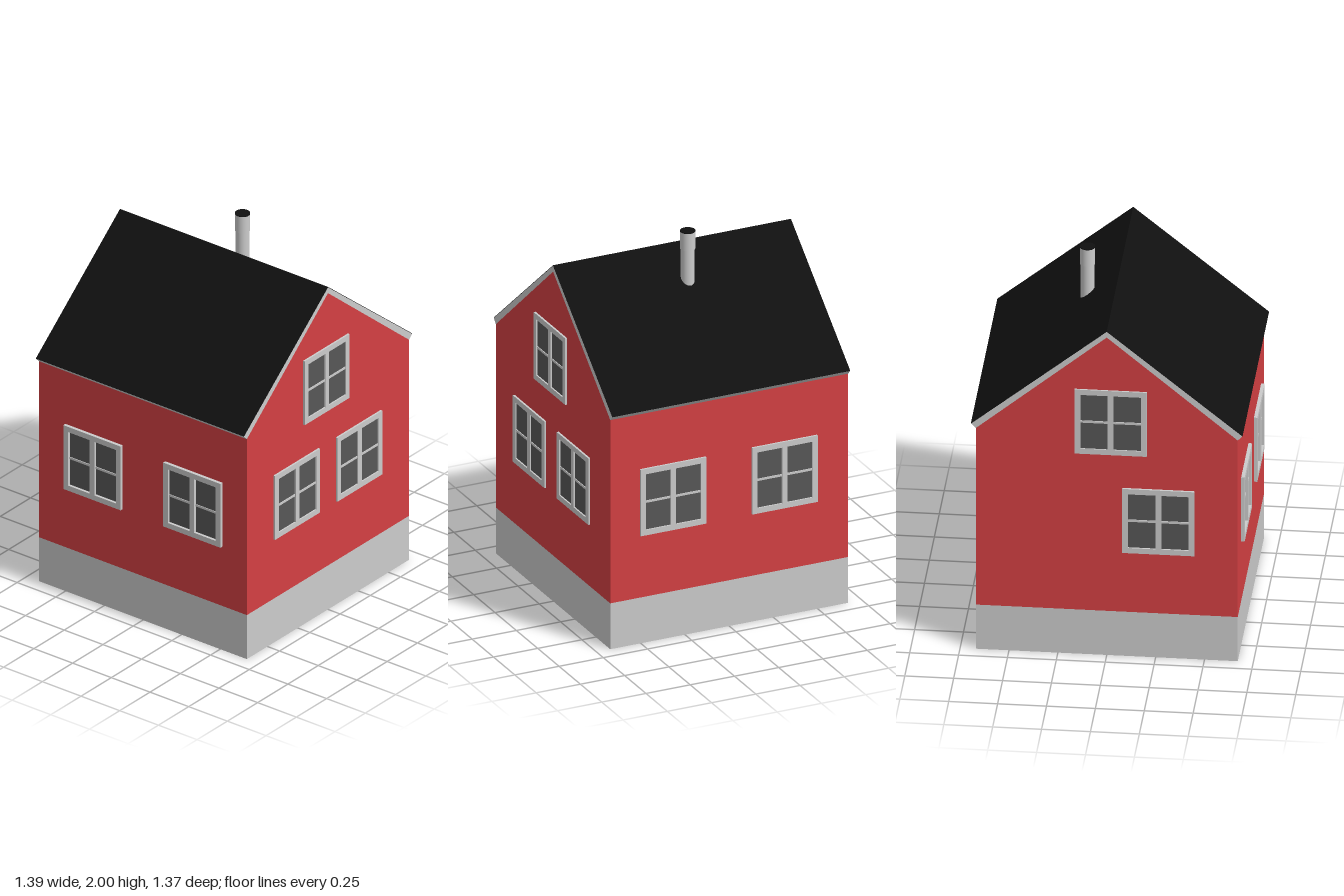
import * as THREE from 'three';

const HALF_X = 0.67;   // half width of the walls
const HALF_Z = 0.672;  // half depth of the walls and roof
const BASE_H = 0.255;

const paint = (color) => new THREE.MeshStandardMaterial({ color });
const grey = paint(0xcccccc);
const red = paint(0xd44043);
const glass = paint(0x575757);
const black = paint(0x101010);

function add(parent, name, geometry, material, x = 0, y = 0, z = 0) {
  const mesh = new THREE.Mesh(geometry, material);
  mesh.name = name;
  mesh.position.set(x, y, z);
  parent.add(mesh);
  return mesh;
}

// Outline in x and y, extruded through the full depth of the house
function prism(points) {
  const shape = new THREE.Shape(points.map(([x, y]) => new THREE.Vector2(x, y)));
  const depth = HALF_Z * 2;
  return new THREE.ExtrudeGeometry(shape, { depth, bevelEnabled: false }).translate(0, 0, -HALF_Z);
}

// Chevron between two roof lines, each given by its apex height and eave point
function chevron(topApex, [topX, topY], lowApex, [lowX, lowY]) {
  return prism([
    [-lowX, lowY], [0, lowApex], [lowX, lowY],
    [topX, topY], [0, topApex], [-topX, topY],
  ]);
}

function rectPath(x, y, w, h) {
  return [[x, y], [x + w, y], [x + w, y + h], [x, y + h]].map(([a, b]) => new THREE.Vector2(a, b));
}

// Two-casement window facing +z, its back on the wall plane
function createWindow(out) {
  const size = 0.37, rim = 0.03, mullion = 0.03;
  const half = size / 2;
  const paneW = (size - 2 * rim - mullion) / 2;
  const paneH = size - 2 * rim;
  const win = new THREE.Group();

  const frame = new THREE.Shape(rectPath(-half, -half, size, size));
  for (const x of [-half + rim, mullion / 2]) {
    frame.holes.push(new THREE.Path(rectPath(x, -half + rim, paneW, paneH)));
  }
  const sunk = 0.01;
  const frameGeo = new THREE.ExtrudeGeometry(frame, { depth: out + sunk, bevelEnabled: false });
  add(win, 'windowFrame', frameGeo, grey, 0, 0, -sunk);

  for (const side of [-1, 1]) {
    const x = side * (mullion + paneW) / 2;
    add(win, 'windowPane', new THREE.BoxGeometry(paneW, paneH, 0.012), glass, x, 0, -0.003);
    add(win, 'glazingBar', new THREE.BoxGeometry(paneW, 0.012, 0.012), grey, x, 0, 0.001);
  }
  return win;
}

export function createModel() {
  const house = new THREE.Group();
  house.name = 'house';

  // Foundation and walls with gables
  add(house, 'foundation', new THREE.BoxGeometry(HALF_X * 2, BASE_H, HALF_Z * 2), grey, 0, BASE_H / 2, 0);
  add(house, 'walls', prism([
    [-HALF_X, BASE_H], [HALF_X, BASE_H], [HALF_X, 1.275], [0, 1.834], [-HALF_X, 1.275],
  ]), red);

  // Roof boards with a thin dark covering
  add(house, 'roofBoards', chevron(1.867, [0.694, 1.3], 1.834, [HALF_X, 1.275]), grey);
  add(house, 'roofCovering', chevron(1.87, [0.695, 1.302], 1.867, [0.694, 1.3]), black);

  // Chimney pipe, collar and dark top
  const chimney = new THREE.Group();
  chimney.name = 'chimney';
  chimney.position.set(0.165, 0, -0.009);
  add(chimney, 'chimneyPipe', new THREE.CylinderGeometry(0.036, 0.036, 0.3, 32), grey, 0, 1.75, 0);
  add(chimney, 'chimneyCollar', new THREE.CylinderGeometry(0.039, 0.039, 0.095, 32), grey, 0, 1.9475, 0);
  add(chimney, 'chimneyTop', new THREE.CylinderGeometry(0.039, 0.039, 0.005, 32), black, 0, 1.9975, 0);
  house.add(chimney);

  // Windows: name, centre x, y, z, turn about y, projection from the wall
  const right = Math.PI / 2;
  const windows = [
    ['frontWindow', -0.265, 0.785, HALF_Z, 0, 0.011],
    ['frontWindow', 0.25, 0.785, HALF_Z, 0, 0.011],
    ['frontGableWindow', -0.02, 1.345, HALF_Z, 0, 0.011],
    ['backWindow', -0.265, 0.785, -HALF_Z, Math.PI, 0.012],
    ['backGableWindow', -0.02, 1.345, -HALF_Z, Math.PI, 0.009],
    ['leftWindow', HALF_X, 0.785, 0.32, right, 0.011],
    ['leftWindow', HALF_X, 0.785, -0.31, right, 0.011],
    ['rightWindow', -HALF_X, 0.785, 0.33, -right, 0.018],
    ['rightWindow', -HALF_X, 0.785, -0.315, -right, 0.018],
  ];
  for (const [name, x, y, z, turn, out] of windows) {
    const win = createWindow(out);
    win.name = name;
    win.position.set(x, y, z);
    win.rotation.y = turn;
    house.add(win);
  }

  return house;
}
